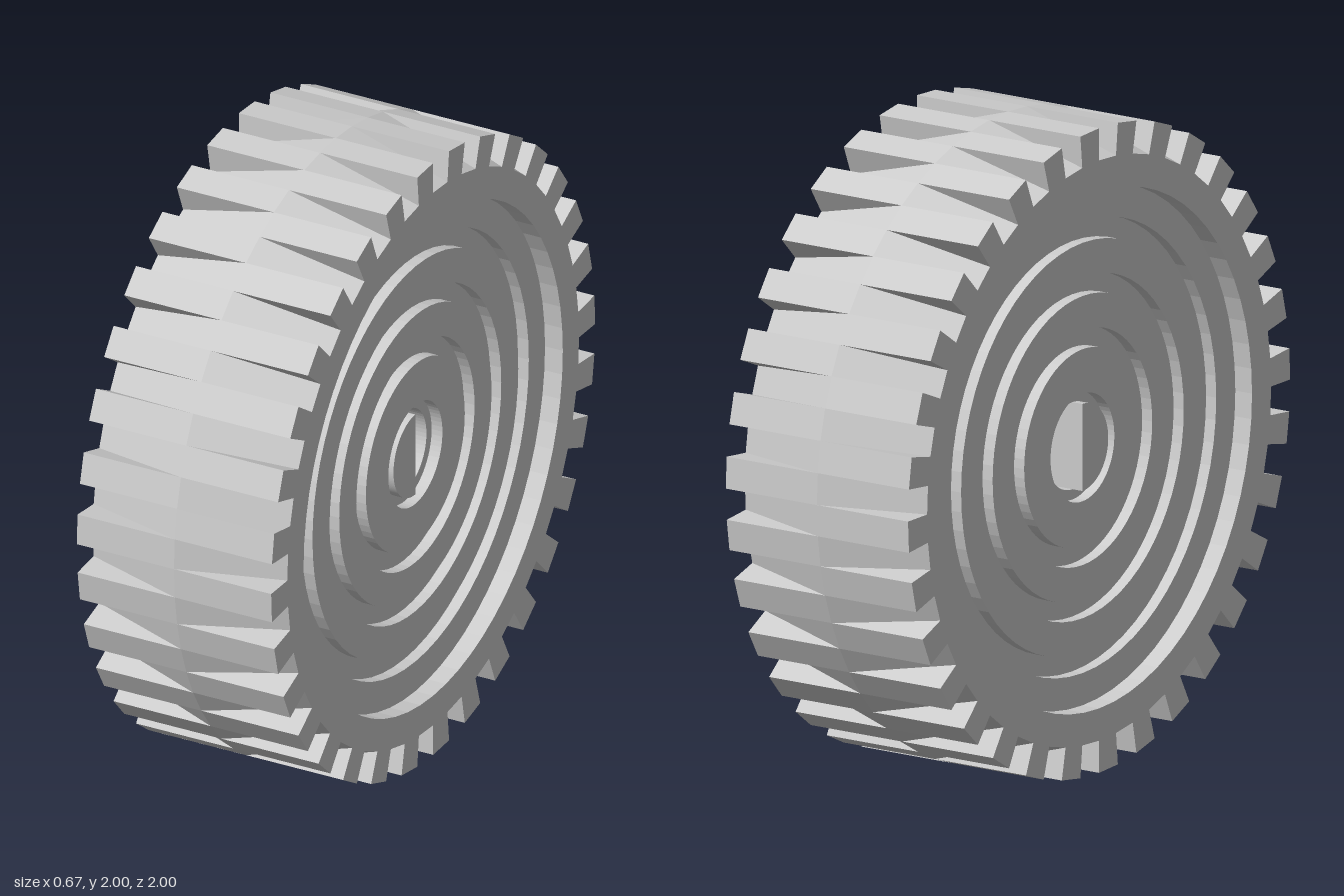
import * as THREE from 'three';

const TEETH = 32, SEG = TEETH * 2;
const HALF_WIDTH = 0.333, OUTER = 1, ROOT = 0.9, INNER = 0.8;
const WEB_X = 0.272, GROOVE_X = 0.235, BORE = 0.135;

const material = new THREE.MeshStandardMaterial({ color: 0xcccccc, flatShading: true });

function addMesh(group, name, geometry) {
  const flat = geometry.index ? geometry.toNonIndexed() : geometry;
  flat.computeVertexNormals();
  const mesh = new THREE.Mesh(flat, material);
  mesh.name = name;
  group.add(mesh);
}

// Half of the toothed rim; gaps are wedges that run out to nothing at the middle
function halfRim(side) {
  const pos = [];
  const p = (x, r, i) => {
    const a = (i / SEG) * Math.PI * 2;
    return [side * x, r * Math.sin(a), r * Math.cos(a)];
  };
  const tri = (a, b, c) => pos.push(...a, ...(side > 0 ? b : c), ...(side > 0 ? c : b));
  const quad = (a, b, c, d) => { tri(a, b, c); tri(a, c, d); };

  for (let i = 0; i < SEG; i++) {
    const j = i + 1;
    // the two halves are staggered by half a pitch
    const isGap = (i % 2 === 0) === (side > 0);
    const r = isGap ? ROOT : OUTER;
    // tread, then end face
    quad(p(0, OUTER, i), p(HALF_WIDTH, r, i), p(HALF_WIDTH, r, j), p(0, OUTER, j));
    quad(p(HALF_WIDTH, INNER, i), p(HALF_WIDTH, INNER, j), p(HALF_WIDTH, r, j), p(HALF_WIDTH, r, i));
    // triangular flanks of the gap
    if (isGap) {
      tri(p(0, OUTER, i), p(HALF_WIDTH, OUTER, i), p(HALF_WIDTH, ROOT, i));
      tri(p(0, OUTER, j), p(HALF_WIDTH, ROOT, j), p(HALF_WIDTH, OUTER, j));
    }
  }
  const geometry = new THREE.BufferGeometry();
  geometry.setAttribute('position', new THREE.Float32BufferAttribute(pos, 3));
  return geometry;
}

// Recessed web with concentric grooves in both faces and a bore through the middle
function web() {
  const face = [[INNER, HALF_WIDTH], [INNER, WEB_X]];
  for (const [outer, inner] of [[0.7, 0.635], [0.53, 0.47], [0.365, 0.305]]) {
    face.push([outer, WEB_X], [outer, GROOVE_X], [inner, GROOVE_X], [inner, WEB_X]);
  }
  // countersunk lip of the bore
  face.push([0.167, WEB_X], [0.167, GROOVE_X], [BORE, GROOVE_X]);
  const back = face.map(([r, x]) => [r, -x]).reverse();
  const profile = [...face, ...back].map(([r, x]) => new THREE.Vector2(r, x));
  return new THREE.LatheGeometry(profile, SEG).rotateZ(-Math.PI / 2);
}

// Half-round key that makes the bore D-shaped
function boreKey() {
  const shape = new THREE.Shape().absarc(0, 0, BORE, 0, Math.PI, false);
  const depth = 2 * WEB_X;
  const geometry = new THREE.ExtrudeGeometry(shape, { depth, bevelEnabled: false, curveSegments: SEG / 2 });
  geometry.translate(0, 0, -depth / 2);
  return geometry.applyMatrix4(new THREE.Matrix4().makeBasis(
    new THREE.Vector3(0, 1, 0), new THREE.Vector3(0, 0, 1), new THREE.Vector3(1, 0, 0)));
}

export function createModel() {
  const wheel = new THREE.Group();
  wheel.name = 'toothedWheel';
  addMesh(wheel, 'leftRim', halfRim(1));
  addMesh(wheel, 'rightRim', halfRim(-1));
  addMesh(wheel, 'web', web());
  addMesh(wheel, 'boreKey', boreKey());
  wheel.position.y = OUTER;

  const model = new THREE.Group();
  model.name = 'model';
  model.add(wheel);
  return model;
}
